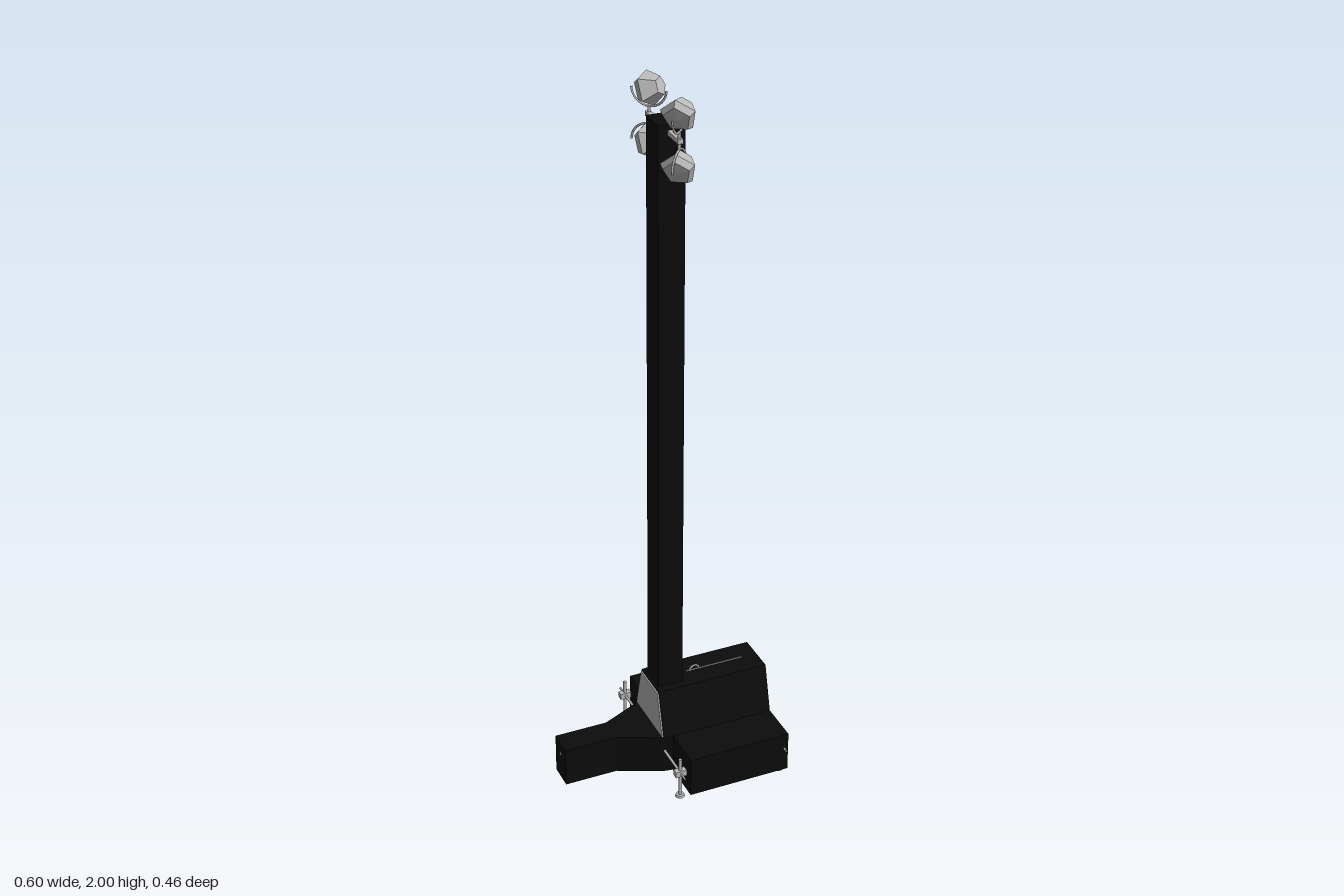
import * as THREE from 'three';

const black = new THREE.MeshStandardMaterial({ color: 0x0c0c0c });
black.name = 'black paint';
const grey = new THREE.MeshStandardMaterial({ color: 0xbababa });
grey.name = 'bare metal grey';

function add(parent, name, geometry, material, x = 0, y = 0, z = 0) {
  const mesh = new THREE.Mesh(geometry, material);
  mesh.name = name;
  mesh.position.set(x, y, z);
  parent.add(mesh);
  return mesh;
}

// Box given by its minimum and maximum corners
function block(parent, name, material, [x0, y0, z0], [x1, y1, z1]) {
  return add(parent, name, new THREE.BoxGeometry(x1 - x0, y1 - y0, z1 - z0), material,
    (x0 + x1) / 2, (y0 + y1) / 2, (z0 + z1) / 2);
}

function extrude(points, depth) {
  const shape = new THREE.Shape(points.map(([a, b]) => new THREE.Vector2(a, b)));
  return new THREE.ExtrudeGeometry(shape, { depth, bevelEnabled: false });
}

function rod(parent, name, from, to, radius) {
  const a = new THREE.Vector3(...from), b = new THREE.Vector3(...to);
  const mesh = add(parent, name, new THREE.CylinderGeometry(radius, radius, a.distanceTo(b), 8), grey);
  mesh.position.copy(a).add(b).multiplyScalar(0.5);
  mesh.quaternion.setFromUnitVectors(new THREE.Vector3(0, 1, 0), b.sub(a).normalize());
  return mesh;
}

// Faceted five-sided lamp bowl, opening along +y
function lampGeometry() {
  const profile = [[0, -0.034], [0.024, -0.034], [0.047, 0.004], [0.036, 0.02], [0, 0.024]];
  const geometry = new THREE.LatheGeometry(profile.map(([r, y]) => new THREE.Vector2(r, y)), 5).toNonIndexed();
  geometry.computeVertexNormals();
  return geometry;
}

export function createModel() {
  const model = new THREE.Group();
  model.name = 'lightTower';

  // Base housing, open underneath
  const base = new THREE.Group();
  base.name = 'base';
  model.add(base);
  block(base, 'baseTop', black, [0, 0.115, -0.213], [0.296, 0.126, 0.213]);
  for (const s of [-1, 1]) {
    add(base, 'baseSide', new THREE.BoxGeometry(0.296, 0.11, 0.008), black, 0.148, 0.062, s * 0.209);
  }
  for (const x of [0.004, 0.292]) {
    add(base, 'baseEnd', new THREE.BoxGeometry(0.008, 0.11, 0.426), black, x, 0.062, 0);
  }

  // Engine block inside the housing
  block(base, 'engine', grey, [0.04, 0.06, -0.09], [0.22, 0.115, 0.09]);
  block(base, 'engineSump', grey, [0.08, 0.04, -0.05], [0.18, 0.06, 0.05]);

  // Cowl with sloping sides and a bare end panel
  const slope = [[-0.095, 0.125], [0.095, 0.125], [0.06, 0.26], [-0.06, 0.26]];
  const cowl = add(model, 'cowl', extrude(slope, 0.324), black, -0.028);
  cowl.rotation.y = Math.PI / 2;
  const inset = slope.map(([z, y]) => [z * 0.95, y === 0.26 ? 0.255 : 0.128]);
  const panel = add(model, 'cowlEndPanel', extrude(inset, 0.004), grey, -0.032);
  panel.rotation.y = Math.PI / 2;

  // Rail and lifting eye on the cowl
  rod(model, 'cowlRail', [0.08, 0.261, 0], [0.25, 0.261, 0], 0.002);
  add(model, 'liftingEye', new THREE.TorusGeometry(0.014, 0.003, 6, 16, Math.PI), grey, 0.105, 0.26, 0);

  // Drawbar that widens towards the housing
  const plan = [[-0.298, -0.037], [-0.147, -0.037], [-0.03, -0.09], [0, -0.095],
    [0, 0.095], [-0.03, 0.09], [-0.147, 0.037], [-0.298, 0.037]];
  const drawbar = add(model, 'drawbar', extrude(plan, 0.116), black, 0, 0.126);
  drawbar.rotation.x = Math.PI / 2;
  const pin = rod(model, 'drawbarPin', [-0.3, 0.09, 0], [-0.29, 0.09, 0], 0.005);
  pin.name = 'drawbarPin';

  // Mast and its inner sections, shown as ledges at the foot
  block(model, 'mast', black, [-0.02, 0.12, -0.037], [0.052, 1.912, 0.037]);

  // Jacks: the forward pair on outriggers, the others at the housing corners
  for (const s of [-1, 1]) {
    for (const x of [-0.024, 0.284]) {
      const jack = new THREE.Group();
      jack.name = 'jack';
      model.add(jack);
      const z = s * 0.195;
      if (x < 0) {
        rod(jack, 'outrigger', [x, 0.08, s * 0.08], [x, 0.08, z], 0.004);
        add(jack, 'jackBracket', new THREE.BoxGeometry(0.032, 0.018, 0.018), grey, x, 0.08, z);
        rod(jack, 'jackLeg', [x, 0.005, z], [x, 0.125, z], 0.005);
      } else {
        add(jack, 'jackBracket', new THREE.BoxGeometry(0.03, 0.016, 0.018), grey, x, 0.08, z);
        rod(jack, 'jackLeg', [x - 0.008, 0.005, z], [x - 0.008, 0.11, z], 0.005);
      }
      add(jack, 'jackFoot', new THREE.CylinderGeometry(0.012, 0.014, 0.006, 10), grey,
        x < 0 ? x : x - 0.008, 0.003, z);
      rod(jack, 'jackHandle', [x, 0.08, z], [x, 0.08, s * 0.228], 0.003);
    }
  }

  // Lamp crossarm
  block(model, 'crossarm', grey, [0.004, 1.884, -0.1], [0.018, 1.896, 0.1]);

  // Four lamps on curved yokes, aimed outward and down
  const bowl = lampGeometry();
  for (const s of [-1, 1]) {
    for (const up of [-1, 1]) {
      const lamp = new THREE.Group();
      lamp.name = 'lamp';
      lamp.position.set(0.011, up > 0 ? 1.957 : 1.82, s * 0.091);
      model.add(lamp);
      const head = add(lamp, 'lampHead', bowl, grey);
      head.quaternion.setFromUnitVectors(new THREE.Vector3(0, 1, 0),
        new THREE.Vector3(-0.62, -0.35, s * 0.7).normalize());
      const yoke = add(lamp, 'yoke', new THREE.TorusGeometry(0.046, 0.003, 6, 16, Math.PI), grey);
      // The yoke lies across the aiming direction and curves to the crossarm
      yoke.rotation.set(0, s * Math.PI / 4, up > 0 ? Math.PI : 0, 'YXZ');
      rod(lamp, 'yokeStem', [0, -up * 0.044, 0], [0, -up * 0.068, 0], 0.004);
    }
  }

  return model;
}
